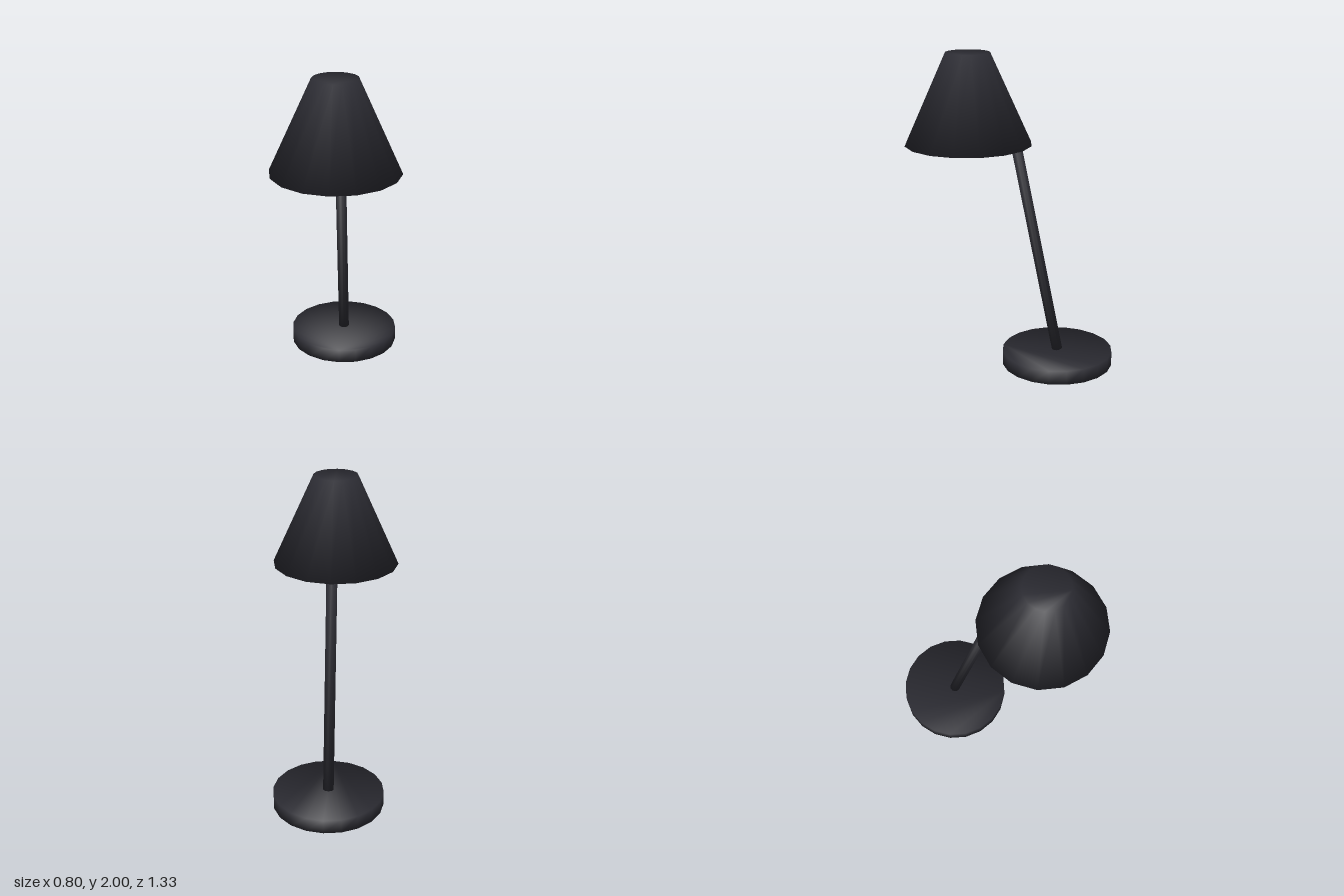
import * as THREE from 'three';

const black = new THREE.MeshStandardMaterial({ color: 0x2b2b32 });
black.name = 'charcoal black';

// Closed frustum from y = 0 to height, whose normals are blended smoothly over both rims
function softFrustum(bottomRadius, topRadius, height, sides) {
  const position = [], normal = [], index = [];
  const slope = new THREE.Vector2(height, bottomRadius - topRadius).normalize();
  const n = new THREE.Vector3();
  for (const [radius, y, cap] of [[bottomRadius, 0, -1], [topRadius, height, 1]]) {
    for (let i = 0; i < sides; i++) {
      const a = (i / sides) * Math.PI * 2;
      const s = Math.sin(a), c = Math.cos(a);
      position.push(radius * s, y, radius * c);
      n.set(slope.x * s, slope.y + cap, slope.x * c).normalize();
      normal.push(n.x, n.y, n.z);
    }
  }
  for (let i = 0; i < sides; i++) {
    const j = (i + 1) % sides;
    index.push(i, j, sides + j, i, sides + j, sides + i); // wall
    if (i > 0 && j > 0) {
      index.push(0, j, i); // bottom cap
      index.push(sides, sides + i, sides + j); // top cap
    }
  }
  const geometry = new THREE.BufferGeometry();
  geometry.setAttribute('position', new THREE.Float32BufferAttribute(position, 3));
  geometry.setAttribute('normal', new THREE.Float32BufferAttribute(normal, 3));
  geometry.setIndex(index);
  return geometry;
}

function addPart(group, name, geometry, x, y, z) {
  const mesh = new THREE.Mesh(geometry, black);
  mesh.name = name;
  mesh.position.set(x, y, z);
  group.add(mesh);
  return mesh;
}

export function createModel() {
  const lamp = new THREE.Group();
  lamp.name = 'deskLamp';

  // Round foot
  addPart(lamp, 'base', softFrustum(0.355, 0.355, 0.09, 20), 0, 0, -0.31);

  // Pole leaning forward into the shade
  const foot = new THREE.Vector3(0, 0.09, -0.31);
  const lean = new THREE.Vector3(0, 1.47, -0.03).sub(foot);
  const pole = addPart(lamp, 'pole', softFrustum(0.034, 0.034, lean.length(), 12), ...foot.toArray());
  pole.rotation.x = Math.atan2(lean.z, lean.y);

  // Conical shade
  addPart(lamp, 'shade', softFrustum(0.4, 0.14, 0.57, 16), 0, 1.43, 0.265);

  return lamp;
}
